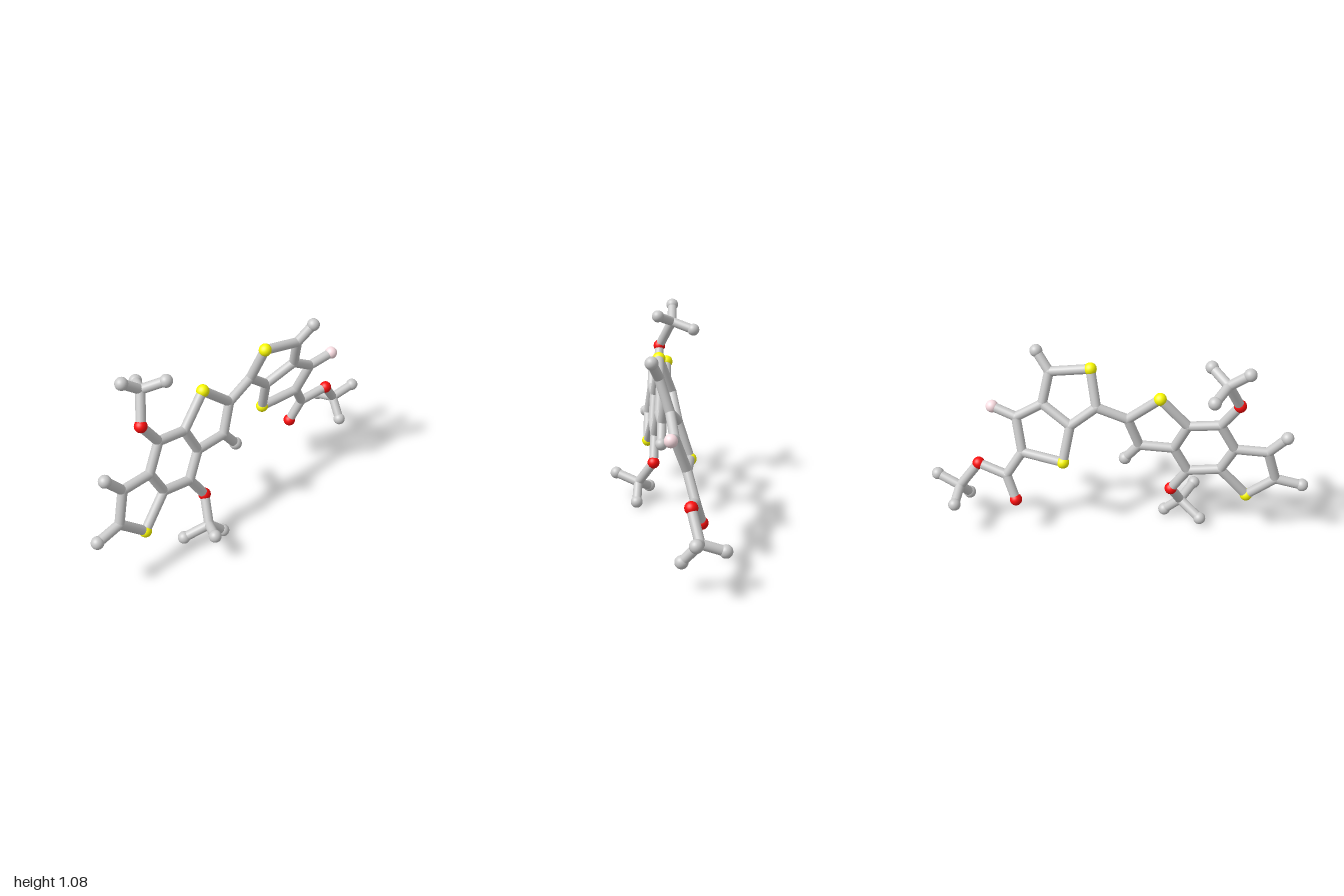
import * as THREE from 'three';

const BALL = 0.033, BOND = 0.025;

// The two fused-ring systems each lie in a tilted plane
const leftPlane = (x, y) => -0.009 + 0.04 * (x + 0.455) - 0.11 * (y - 0.54);
const rightPlane = (x, y) => 0.053 + 0.188 * (x - 0.14) + 0.337 * (y - 0.95);

const STYLE = {
  C: { name: 'carbonJoint', color: 0xcccccc, radius: BOND * 1.03 },
  H: { name: 'endBall', color: 0xcccccc, radius: BALL },
  S: { name: 'sulfurBall', color: 0xffff00, radius: BALL },
  O: { name: 'oxygenBall', color: 0xff0d0d, radius: BALL },
  F: { name: 'fluorineBall', color: 0xffe1e6, radius: BALL },
};

// Each atom: key [x, y, z or plane]; the first letter of the key is the element
const ATOMS = {
  // left three-ring system
  H1: [-0.97, 0.34, leftPlane], C1: [-0.83, 0.37, leftPlane],
  H2: [-0.87, 0.645, leftPlane], C2: [-0.78, 0.545, leftPlane],
  C3: [-0.61, 0.55, leftPlane], C4: [-0.54, 0.41, leftPlane],
  S1: [-0.685, 0.245, leftPlane], C5: [-0.53, 0.70, leftPlane],
  C6: [-0.365, 0.68, leftPlane], S2: [-0.22, 0.84, leftPlane],
  C7: [-0.055, 0.70, leftPlane], C8: [-0.115, 0.535, leftPlane],
  H3: [-0.04, 0.44, leftPlane], C9: [-0.295, 0.53, leftPlane],
  C10: [-0.37, 0.385, leftPlane],
  // upper side group
  O1: [-0.62, 0.83, leftPlane], C11: [-0.555, 0.98, -0.11],
  H4: [-0.655, 1.055, -0.125], H5: [-0.47, 1.03, -0.02], H6: [-0.49, 0.945, -0.22],
  // lower side group
  O2: [-0.285, 0.25, leftPlane], C12: [-0.335, 0.12, 0.11],
  H7: [-0.405, 0.157, 0.225], H8: [-0.445, 0.055, 0.035], H9: [-0.25, 0.037, 0.128],
  // right two-ring system
  C13: [0.105, 0.765, rightPlane], S3: [0.14, 0.95, rightPlane],
  C14: [0.355, 0.91, rightPlane], H10: [0.425, 1.003, rightPlane],
  C15: [0.39, 0.745, rightPlane], C16: [0.24, 0.655, rightPlane],
  S4: [0.275, 0.465, rightPlane], C17: [0.495, 0.485, rightPlane],
  C18: [0.53, 0.66, rightPlane], F1: [0.66, 0.695, rightPlane],
  // end group on the right
  C19: [0.58, 0.355, -0.065], O3: [0.53, 0.225, -0.105], O4: [0.735, 0.39, -0.02],
  C20: [0.84, 0.255, -0.045], H11: [0.965, 0.30, -0.007],
  H12: [0.81, 0.155, 0.036], H13: [0.85, 0.215, -0.165],
};

// Chains of bonded atoms
const CHAINS = [
  'H1 C1 C2 C3 C4 S1 C1', 'H2 C2', 'C3 C5 C6 C9 C10 C4', 'C6 S2 C7 C8 C9', 'H3 C8',
  'C5 O1 C11 H4', 'H5 C11 H6', 'C10 O2 C12 H7', 'H8 C12 H9',
  'C7 C13 S3 C14 C15 C16 C13', 'C14 H10', 'C16 S4 C17 C18 C15', 'C18 F1',
  'C17 C19 O4 C20 H11', 'C19 O3', 'H12 C20 H13',
];

export function createModel() {
  const model = new THREE.Group();
  model.name = 'moleculeStickModel';
  const balls = new THREE.Group(), bonds = new THREE.Group();
  balls.name = 'atoms';
  bonds.name = 'bonds';
  model.add(balls, bonds);

  const kits = {};
  for (const [k, s] of Object.entries(STYLE)) {
    kits[k] = {
      geometry: new THREE.SphereGeometry(s.radius, 24, 16),
      material: new THREE.MeshStandardMaterial({ color: s.color }),
    };
  }

  // Atoms
  const points = {};
  for (const [key, [x, y, z]] of Object.entries(ATOMS)) {
    const p = new THREE.Vector3(x, y, typeof z === 'function' ? z(x, y) : z);
    points[key] = p;
    const ball = new THREE.Mesh(kits[key[0]].geometry, kits[key[0]].material);
    ball.name = STYLE[key[0]].name;
    ball.position.copy(p);
    balls.add(ball);
  }

  // Bonds: one rod between each pair of neighbours in a chain
  const up = new THREE.Vector3(0, 1, 0);
  for (const chain of CHAINS) {
    const keys = chain.split(' ');
    for (let i = 1; i < keys.length; i++) {
      const a = points[keys[i - 1]], b = points[keys[i]];
      const dir = b.clone().sub(a);
      const rod = new THREE.Mesh(
        new THREE.CylinderGeometry(BOND, BOND, dir.length(), 20, 1, true), kits.C.material);
      rod.name = 'bond';
      rod.position.copy(a).add(b).multiplyScalar(0.5);
      rod.quaternion.setFromUnitVectors(up, dir.normalize());
      bonds.add(rod);
    }
  }
  return model;
}
